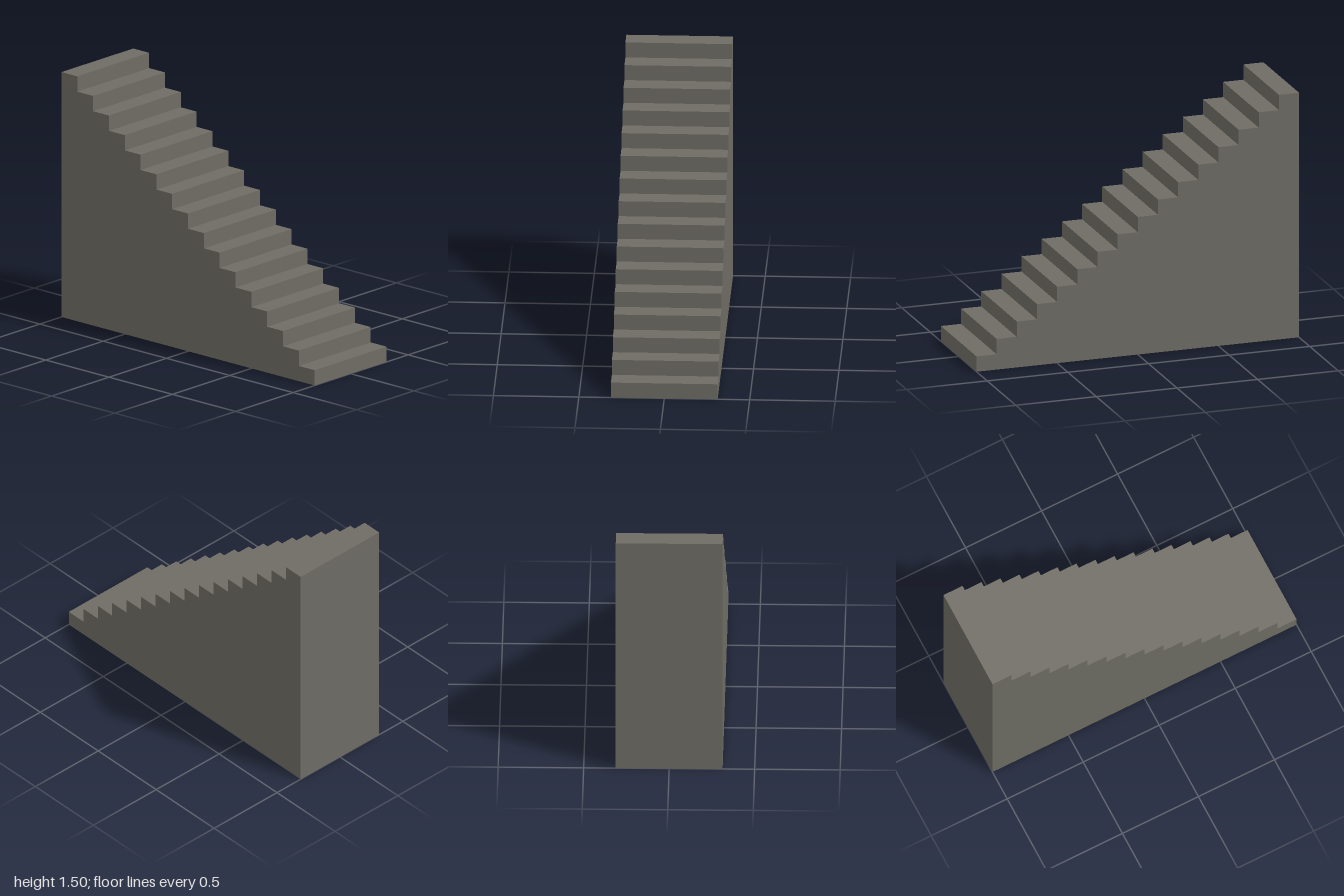
import * as THREE from 'three';

const STEPS = 16, WIDTH = 0.625, LENGTH = 2, HEIGHT = 1.5;

export function createModel() {
  const group = new THREE.Group();
  group.name = 'staircase';

  const stone = new THREE.MeshStandardMaterial({ color: 0x6e6c64 });
  stone.name = 'grey stone';

  // Side profile: flat base, upright back, stepped slope climbing to the back
  const run = LENGTH / STEPS, rise = HEIGHT / STEPS;
  const profile = new THREE.Shape();
  profile.moveTo(LENGTH / 2, 0);
  profile.lineTo(LENGTH / 2, HEIGHT);
  for (let i = STEPS - 1; i >= 0; i--) {
    const nose = -LENGTH / 2 + i * run;
    profile.lineTo(nose, (i + 1) * rise);
    profile.lineTo(nose, i * rise);
  }
  profile.closePath();

  // Extrude across the width, then turn the profile so the low end faces +z
  const geometry = new THREE.ExtrudeGeometry(profile, { depth: WIDTH, bevelEnabled: false });
  geometry.translate(0, 0, -WIDTH / 2);
  geometry.rotateY(Math.PI / 2);

  const stairs = new THREE.Mesh(geometry, stone);
  stairs.name = 'solidStairs';
  group.add(stairs);
  return group;
}
